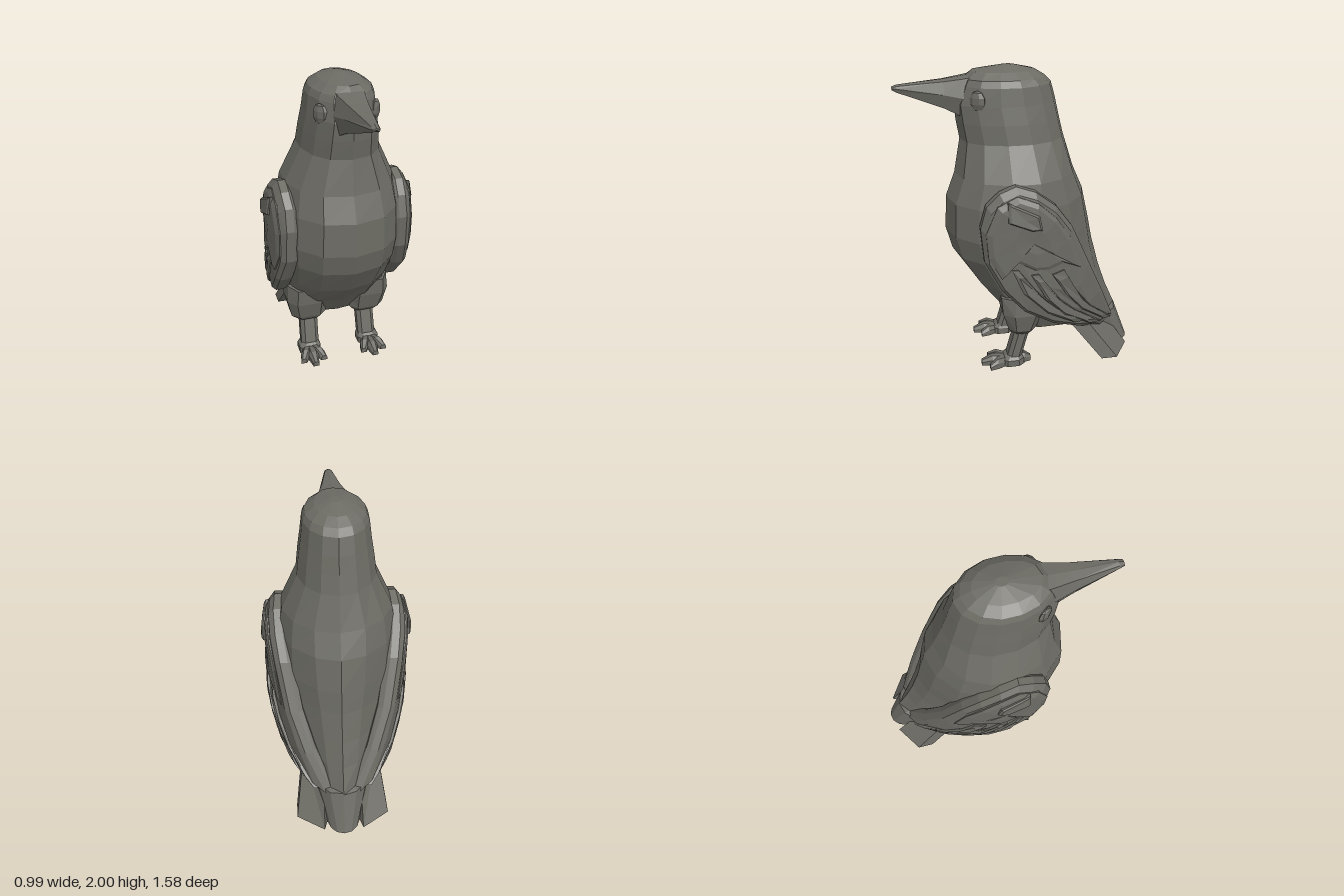
import * as THREE from 'three';

const material = new THREE.MeshStandardMaterial({ color: 0x6c6b64, flatShading: true });

// Skin a closed solid over rings of [x, y, z] points; orients faces outward.
function loft(name, rings, side = 1) {
  const tris = [];
  const n = rings[0].length;
  const mid = (r) => [0, 1, 2].map((k) => r.reduce((sum, p) => sum + p[k], 0) / n);
  const first = mid(rings[0]), last = mid(rings[rings.length - 1]);
  for (let j = 0; j < n; j++) {
    const k = (j + 1) % n;
    tris.push([first, rings[0][k], rings[0][j]]);
    for (let i = 0; i < rings.length - 1; i++) {
      const a = rings[i], b = rings[i + 1];
      tris.push([a[j], a[k], b[k]], [a[j], b[k], b[j]]);
    }
    tris.push([last, rings[rings.length - 1][j], rings[rings.length - 1][k]]);
  }
  const solid = tris.map((t) => t.map((p) => new THREE.Vector3(p[0] * side, p[1], p[2])));
  const volume = solid.reduce((v, [a, b, c]) => v + a.dot(b.clone().cross(c)), 0);
  if (volume < 0) solid.forEach((t) => t.reverse());
  const geometry = new THREE.BufferGeometry().setFromPoints(solid.flat());
  geometry.computeVertexNormals();
  const mesh = new THREE.Mesh(geometry, material);
  mesh.name = name;
  return mesh;
}

// Horizontal oval ring: half width, widest z, front z, back z, back sharpness.
function oval([y, w, zm, zf, zb, sharp = 1], count = 14) {
  return Array.from({ length: count }, (_, i) => {
    const a = (i / count) * Math.PI * 2, s = Math.sin(a), c = Math.cos(a);
    const power = c > 0 ? 0.85 : sharp;
    return [Math.sign(s) * Math.abs(s) ** power * w, y, zm + c * (c > 0 ? zf - zm : zm - zb)];
  });
}

// Outer surface of the wing as a function of position.
const WING_CURVE = [[-0.66, 0.17], [-0.6, 0.235], [-0.4, 0.355], [-0.2, 0.43], [0, 0.47], [0.2, 0.457], [0.33, 0.42]];
function wingX(z, y) {
  let i = 0;
  while (i < WING_CURVE.length - 2 && z > WING_CURVE[i + 1][0]) i++;
  const [z0, x0] = WING_CURVE[i], [z1, x1] = WING_CURVE[i + 1];
  const x = x0 + ((x1 - x0) * (z - z0)) / (z1 - z0);
  return x - Math.max(0, y - 1.15) * 0.2 - Math.max(0, 0.6 - y) * 0.12;
}

// Plate following the wing surface; layers are [scale, lift] pairs.
function plate(name, outline, center, layers, side) {
  const [cz, cy] = center;
  return loft(name, layers.map(([scale, lift]) => outline.map(([z, y]) => {
    const pz = cz + (z - cz) * scale, py = cy + (y - cy) * scale;
    return [wingX(pz, py) + lift, py, pz];
  })), side);
}

const WING = [[0.32, 1.08], [0.28, 1.22], [0.2, 1.3], [0.1, 1.34], [-0.02, 1.3], [-0.15, 1.2], [-0.26, 1.05],
  [-0.4, 0.75], [-0.52, 0.5], [-0.64, 0.24], [-0.53, 0.21], [-0.35, 0.28], [-0.15, 0.37], [0.05, 0.5], [0.2, 0.67], [0.3, 0.86]];
const COVERTS = [[0.29, 1.06], [0.22, 1.23], [0.1, 1.29], [-0.03, 1.24], [-0.15, 1.13], [-0.25, 0.98],
  [-0.33, 0.76], [-0.2, 0.83], [-0.1, 0.8], [-0.01, 0.81], [0.1, 0.87], [0.2, 0.76], [0.28, 0.9]];
const FEATHERS = [
  [[0.14, 0.82], [0.1, 0.82], [-0.02, 0.66], [-0.17, 0.5], [-0.37, 0.34], [-0.3, 0.35], [-0.1, 0.48], [0.07, 0.66]],
  [[0.02, 0.78], [-0.03, 0.78], [-0.15, 0.6], [-0.3, 0.45], [-0.52, 0.27], [-0.42, 0.3], [-0.22, 0.44], [-0.08, 0.6]],
  [[-0.12, 0.76], [-0.2, 0.78], [-0.3, 0.6], [-0.42, 0.44], [-0.61, 0.26], [-0.54, 0.28], [-0.35, 0.44], [-0.22, 0.6]],
];

function createWing(side) {
  const wing = new THREE.Group();
  wing.name = side > 0 ? 'leftWing' : 'rightWing';
  wing.add(plate('wingBase', WING, [-0.04, 0.82],
    [[0.95, -0.12], [1, -0.08], [1, -0.03], [0.92, -0.005], [0.6, 0], [0.3, 0]], side));
  wing.add(plate('coverts', COVERTS, [0, 1], [[1, -0.04], [1, 0.002], [0.88, 0.012], [0.4, 0.012]], side));
  for (const f of FEATHERS) {
    const c = [0, 1].map((k) => f.reduce((s, p) => s + p[k], 0) / f.length);
    wing.add(plate('flightFeather', f, c, [[1, -0.04], [1, 0.008], [0.8, 0.018]], side));
  }
  wing.add(plate('shoulderPatch', [[0.16, 1.26], [-0.03, 1.17], [-0.05, 1.08], [0.01, 1.08], [0.16, 1.14]], [0.05, 1.15],
    [[1, -0.02], [1, 0.02], [0.85, 0.028]], side));
  return wing;
}

// Rectangle with clipped corners in the xz plane.
function pad(x, y, z, w, d) {
  return [[-0.6, 1], [0.6, 1], [1, 0.5], [1, -0.5], [0.6, -1], [-0.6, -1], [-1, -0.5], [-1, 0.5]]
    .map(([u, v]) => [x + u * w, y, z + v * d]);
}

function createLeg(side) {
  const leg = new THREE.Group();
  leg.name = side > 0 ? 'leftLeg' : 'rightLeg';
  leg.add(loft('thigh', [pad(0.22, 0.54, 0, 0.13, 0.18), pad(0.22, 0.42, 0.03, 0.14, 0.14),
    pad(0.21, 0.29, 0.04, 0.12, 0.09), pad(0.205, 0.255, 0.035, 0.09, 0.07)], side));
  leg.add(loft('shank', [pad(0.205, 0.28, 0.025, 0.062, 0.05), pad(0.21, 0.03, 0.095, 0.062, 0.05)], side));
  leg.add(loft('footPad', [pad(0.215, 0, 0.1, 0.075, 0.08), pad(0.215, 0.045, 0.1, 0.075, 0.075),
    pad(0.21, 0.07, 0.09, 0.055, 0.05)], side));
  // Toes run from the pad out to a clipped tip.
  for (const [x, z] of [[0.145, 0.26], [0.215, 0.31], [0.29, 0.26], [0.215, -0.03]]) {
    const spine = [[0, 0.05, 0.035], [0.65, 0.066, 0.035], [1, 0.035, 0.02]];
    leg.add(loft('toe', spine.map(([t, h, w]) => {
      const px = 0.215 + (x - 0.215) * t, pz = 0.1 + (z - 0.1) * t;
      return [[-w, 0], [w, 0], [w, h * 0.6], [w * 0.5, h], [-w * 0.5, h], [-w, h * 0.6]].map(([u, y]) => [px + u, y, pz]);
    }), side));
  }
  return leg;
}

export function createModel() {
  const bird = new THREE.Group();
  bird.name = 'bird';

  // Head, body and middle of the tail
  bird.add(loft('body', [
    [0, 0.11, -0.66, -0.52, -0.79], [0.265, 0.2, -0.42, -0.28, -0.69],
    [0.275, 0.27, -0.12, 0.07, -0.685, 1.5], [0.43, 0.35, -0.1, 0.19, -0.615, 1.5],
    [0.6, 0.37, -0.05, 0.33, -0.555, 1.4], [0.8, 0.39, 0, 0.46, -0.5, 1.3],
    [0.95, 0.4, 0.02, 0.5, -0.47, 1.2], [1.17, 0.39, 0.02, 0.49, -0.42, 1.1],
    [1.33, 0.36, 0.02, 0.43, -0.35], [1.55, 0.255, 0.04, 0.39, -0.28],
    [1.67, 0.24, 0.06, 0.41, -0.25], [1.78, 0.222, 0.08, 0.42, -0.225],
    [1.89, 0.208, 0.09, 0.38, -0.195], [1.93, 0.19, 0.09, 0.36, -0.155],
    [1.97, 0.13, 0.09, 0.31, -0.09], [2, 0.03, 0.08, 0.12, 0.04],
  ].map((r) => oval(r))));

  // Beak: z, top y, bottom y, half width
  bird.add(loft('beak', [[0.28, 1.955, 1.7, 0.13], [0.37, 1.94, 1.7, 0.112], [0.48, 1.925, 1.755, 0.085],
    [0.76, 1.9, 1.855, 0.03], [0.79, 1.89, 1.87, 0.022]].map(([z, top, low, w]) => {
    const y = top + (low - top) * 0.5;
    return [[0, top], [w * 0.7, top - 0.008], [w, y], [w * 0.75, low], [0, low + 0.01], [-w * 0.75, low], [-w, y], [-w * 0.7, top - 0.008]]
      .map(([x, py]) => [x, py, z]);
  })));

  for (const side of [1, -1]) {
    bird.add(createWing(side), createLeg(side));

    // Outer tail feathers
    bird.add(loft('outerTailFeather', [
      [[0.05, 0.36, -0.24], [0.25, 0.36, -0.24], [0.25, 0.36, -0.36], [0.12, 0.36, -0.5]],
      [[0.06, 0, -0.52], [0.31, 0, -0.52], [0.31, 0, -0.63], [0.13, 0, -0.75]],
    ], side));

    // Eyes
    const eye = new THREE.Mesh(new THREE.SphereGeometry(0.055, 7, 5), material);
    eye.name = side > 0 ? 'leftEye' : 'rightEye';
    eye.scale.set(0.45, 1.15, 1);
    eye.position.set(side * 0.168, 1.815, 0.29);
    eye.rotation.y = -side * 0.65;
    bird.add(eye);
  }
  return bird;
}
